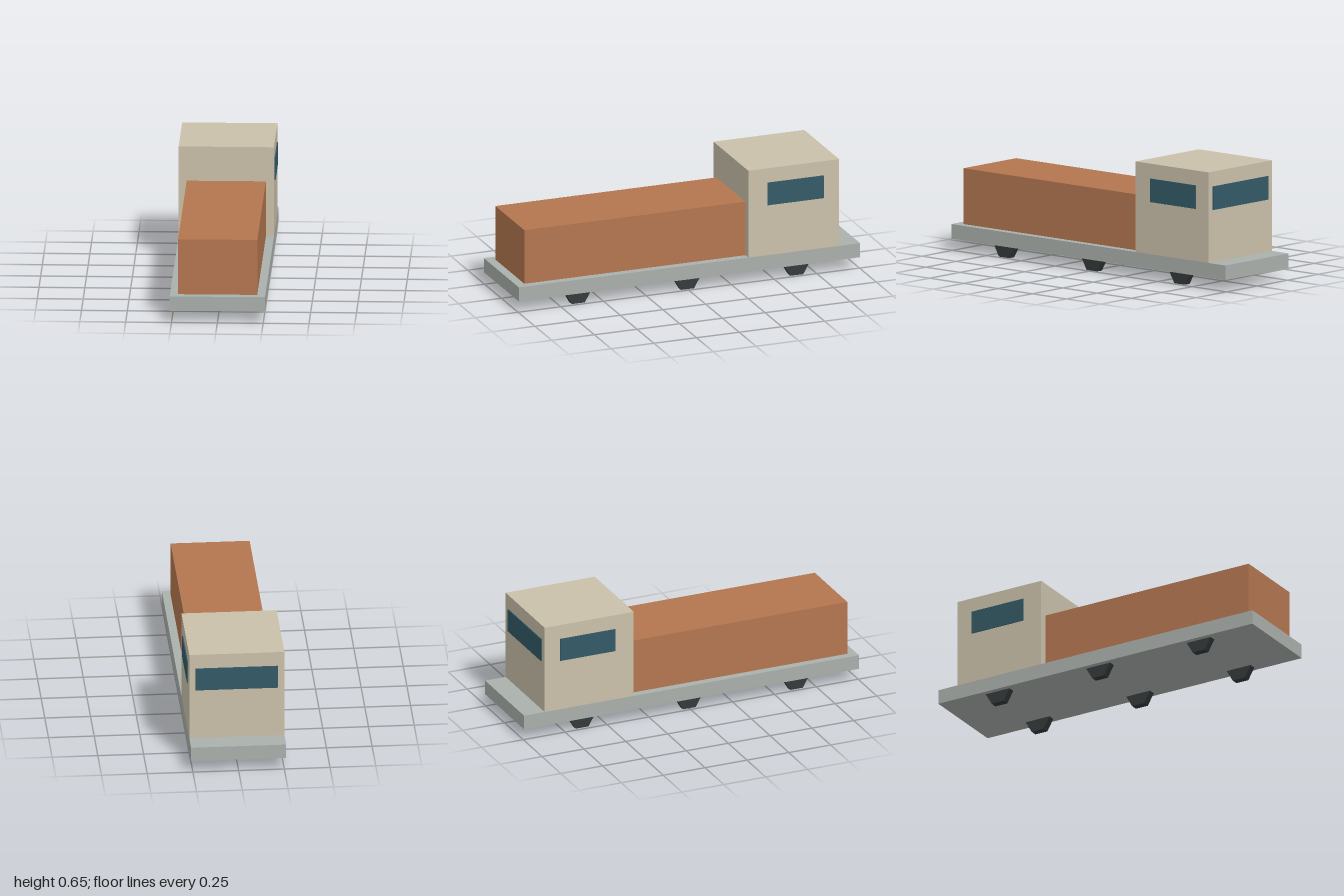
import * as THREE from 'three';

const material = (name, color) => {
  const m = new THREE.MeshStandardMaterial({ color });
  m.name = name;
  return m;
};

export function createModel() {
  const group = new THREE.Group();
  const grey = material('deck grey', 0xaab0ac);
  const cream = material('cab cream', 0xcac0aa);
  const rust = material('body rust', 0xb47650);
  const glass = material('window blue', 0x335a66);
  const dark = material('wheel charcoal', 0x33393a);

  // Box given by its low and high corners
  const box = (name, mat, [x0, y0, z0], [x1, y1, z1]) => {
    const mesh = new THREE.Mesh(new THREE.BoxGeometry(x1 - x0, y1 - y0, z1 - z0), mat);
    mesh.position.set((x0 + x1) / 2, (y0 + y1) / 2, (z0 + z1) / 2);
    mesh.name = name;
    group.add(mesh);
  };

  box('deck', grey, [-0.26, 0.066, -1], [0.26, 0.147, 1]);
  box('cab', cream, [-0.26, 0.147, -0.877], [0.26, 0.648, -0.345]);
  box('longBody', rust, [-0.216, 0.147, -0.345], [0.216, 0.456, 0.95]);

  // Cab windows: one across the end, one on each side
  box('endWindow', glass, [-0.225, 0.436, -0.883], [0.225, 0.566, -0.877]);
  box('leftWindow', glass, [0.26, 0.436, -0.786], [0.265, 0.566, -0.456]);
  box('rightWindow', glass, [-0.265, 0.436, -0.786], [-0.26, 0.566, -0.456]);

  // Six-sided wheels, half sunk into the deck, resting on a flat side
  const wheel = new THREE.CylinderGeometry(0.0762, 0.0762, 0.04, 6).toNonIndexed();
  wheel.rotateZ(Math.PI / 2);
  wheel.computeVertexNormals();
  for (const z of [-0.64, 0, 0.64]) {
    for (const side of [-1, 1]) {
      const mesh = new THREE.Mesh(wheel, dark);
      mesh.position.set(side * 0.211, 0.066, z);
      mesh.name = side > 0 ? 'leftWheel' : 'rightWheel';
      group.add(mesh);
    }
  }
  return group;
}
